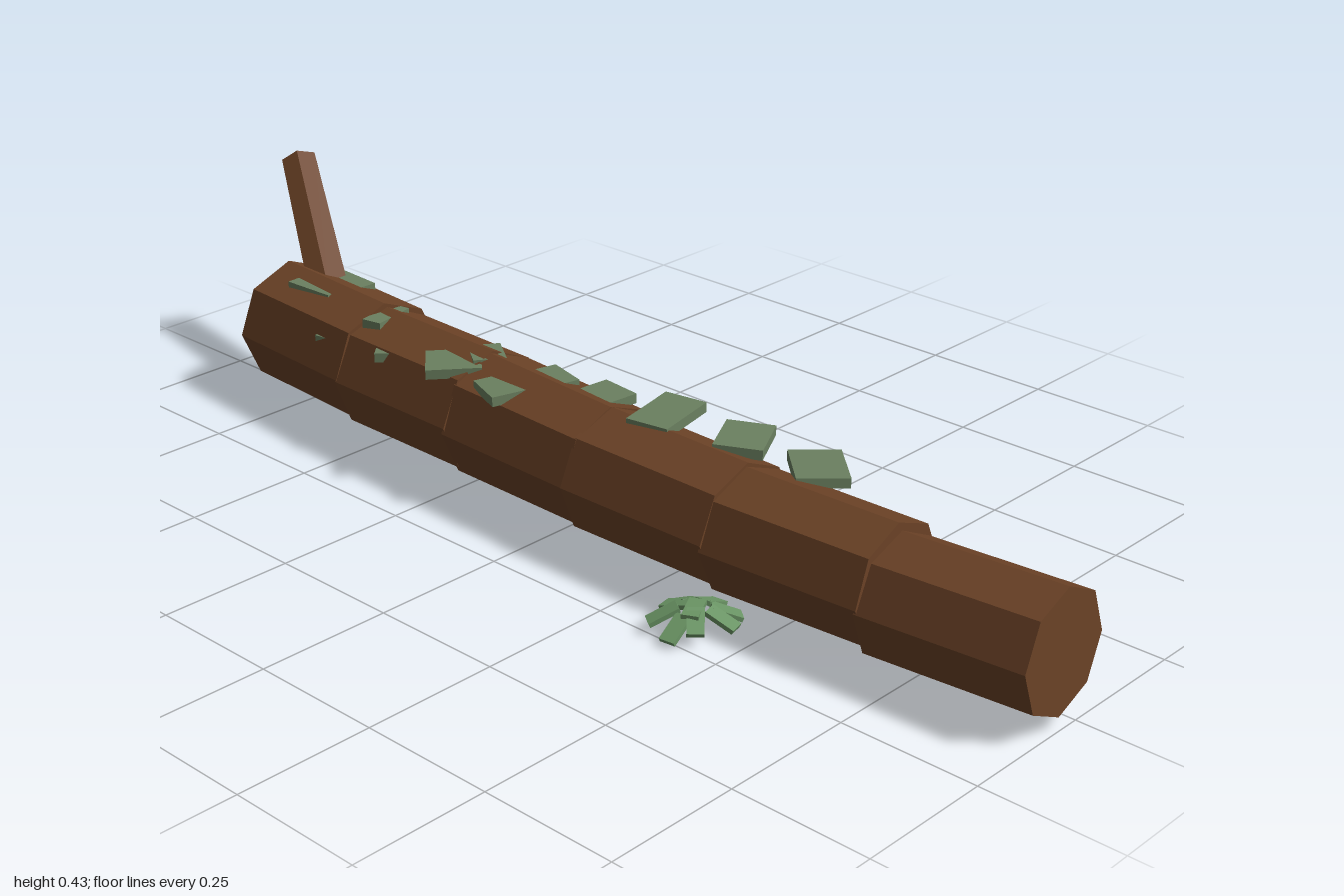
import * as THREE from 'three';

const material = (name, color) => {
  const m = new THREE.MeshStandardMaterial({ color, flatShading: true });
  m.name = name;
  return m;
};

export function createModel() {
  const model = new THREE.Group();
  model.name = 'mossyLog';
  const bark = material('brown bark', 0x6b4226);
  const moss = material('grey green moss', 0x6b8060);
  const leaf = material('leaf green', 0x6a9464);

  const add = (parent, name, geometry, mat) => {
    const mesh = new THREE.Mesh(geometry, mat);
    mesh.name = name;
    parent.add(mesh);
    return mesh;
  };

  // Tapered prism between two points, one corner pointing up
  const limb = (name, a, b, ra, rb, sides, twist = 0) => {
    const p = new THREE.Vector3(...a), q = new THREE.Vector3(...b);
    const dir = q.clone().sub(p);
    const geo = new THREE.CylinderGeometry(rb, ra, dir.length(), sides);
    geo.rotateY(twist);
    const mesh = add(model, name, geo, bark);
    // local y runs along the limb, local x stays as upright as possible
    const y = dir.normalize();
    const z = new THREE.Vector3(0, 1, 0).cross(y).normalize();
    const x = y.clone().cross(z);
    mesh.quaternion.setFromRotationMatrix(new THREE.Matrix4().makeBasis(x, y, z));
    mesh.position.copy(p).add(q).multiplyScalar(0.5);
  };

  // Trunk: short tapering lengths along a gentle bend
  // [x0, y0, z0, x1, y1, z1, r0, r1, twist]
  const segments = [
    [-0.828, 0.136, -0.006, -0.52, 0.14, 0.02, 0.121, 0.12, 0.02],
    [-0.527, 0.131, 0.02, -0.217, 0.138, 0.037, 0.12, 0.118, -0.03],
    [-0.224, 0.134, 0.036, 0.084, 0.133, 0.049, 0.119, 0.114, 0.03],
    [0.077, 0.129, 0.05, 0.389, 0.13, 0.053, 0.116, 0.112, -0.02],
    [0.382, 0.123, 0.052, 0.693, 0.13, 0.046, 0.113, 0.109, 0.02],
    [0.686, 0.114, 0.046, 0.992, 0.125, 0.035, 0.108, 0.107, -0.06],
  ];
  for (const [x0, y0, z0, x1, y1, z1, r0, r1, twist] of segments) {
    limb('trunkSegment', [x0, y0, z0], [x1, y1, z1], r0, r1, 8, Math.PI / 2 + twist);
  }

  // Broken branch
  limb('branch', [-0.715, 0.19, -0.014], [-0.966, 0.392, -0.153], 0.044, 0.038, 6, 0.3);

  // Moss patches, partly sunk into the bark: [x, y, z, width, depth, turn, roll]
  const patches = [
    [-0.7, 0.233, -0.025, 0.1, 0.085, -0.05, 0],
    [-0.71, 0.238, 0.02, 0.11, 0.06, 0.05, 0],
    [-0.6, 0.188, 0.072, 0.04, 0.08, 0.1, 0],
    [-0.51, 0.236, 0.03, 0.04, 0.09, 0.2, 0],
    [-0.43, 0.208, 0.085, 0.06, 0.06, 0.7, 0],
    [-0.27, 0.231, 0.083, 0.085, 0.1, -0.75, 0.04],
    [-0.135, 0.225, 0.087, 0.08, 0.085, -0.35, 0.04],
    [-0.24, 0.238, 0.03, 0.07, 0.06, -0.6, 0],
    [-0.09, 0.232, 0.015, 0.08, 0.06, -0.25, 0],
    [0.02, 0.228, -0.01, 0.08, 0.06, -0.1, 0],
    [0.165, 0.24, 0, 0.082, 0.122, 0.16, 0.04],
    [0.31, 0.23, -0.032, 0.085, 0.112, 0.5, -0.04],
    [0.45, 0.215, -0.055, 0.115, 0.09, -0.76, -0.03],
  ];
  for (const [x, y, z, w, d, turn, roll] of patches) {
    const mesh = add(model, 'mossPatch', new THREE.BoxGeometry(w, 0.018, d), moss);
    mesh.position.set(x, y, z);
    mesh.rotation.set(roll, turn, 0, 'XYZ');
  }

  // Ground plants: small drooping leaves spread around a centre
  const plant = (cx, cz, leaves) => {
    const group = new THREE.Group();
    group.name = 'groundPlant';
    group.position.set(cx, 0, cz);
    for (const [angle, distance, height, droop] of leaves) {
      const arm = new THREE.Group();
      arm.name = 'leafArm';
      arm.rotation.y = angle;
      const mesh = add(arm, 'leaf', new THREE.BoxGeometry(0.055, 0.008, 0.029), leaf);
      mesh.position.set(distance, height, 0);
      mesh.rotation.z = -droop;
      group.add(arm);
    }
    model.add(group);
  };
  // [direction, distance, height, droop]
  plant(-0.62, -0.19, [
    [0.05, 0.058, 0.027, 0.4], [0.85, 0.065, 0.031, 0.4], [1.6, 0.03, 0.036, 0.2],
    [2.45, 0.05, 0.03, 0.4], [3.4, 0.066, 0.025, 0.45], [4.1, 0.04, 0.022, 0.5],
    [5.0, 0.04, 0.016, 0.6], [5.8, 0.03, 0.034, 0.25], [0.5, 0.012, 0.039, 0.05],
  ]);
  plant(0.4, 0.185, [
    [-1.45, 0.056, 0.02, 0.5], [-2.2, 0.054, 0.028, 0.45], [-0.85, 0.04, 0.03, 0.4],
    [0.25, 0.048, 0.026, 0.4], [0.9, 0.05, 0.024, 0.4], [1.7, 0.045, 0.026, 0.4],
    [2.6, 0.05, 0.022, 0.45], [3.3, 0.035, 0.03, 0.3], [-1.1, 0.012, 0.038, 0.05],
  ]);

  return model;
}
